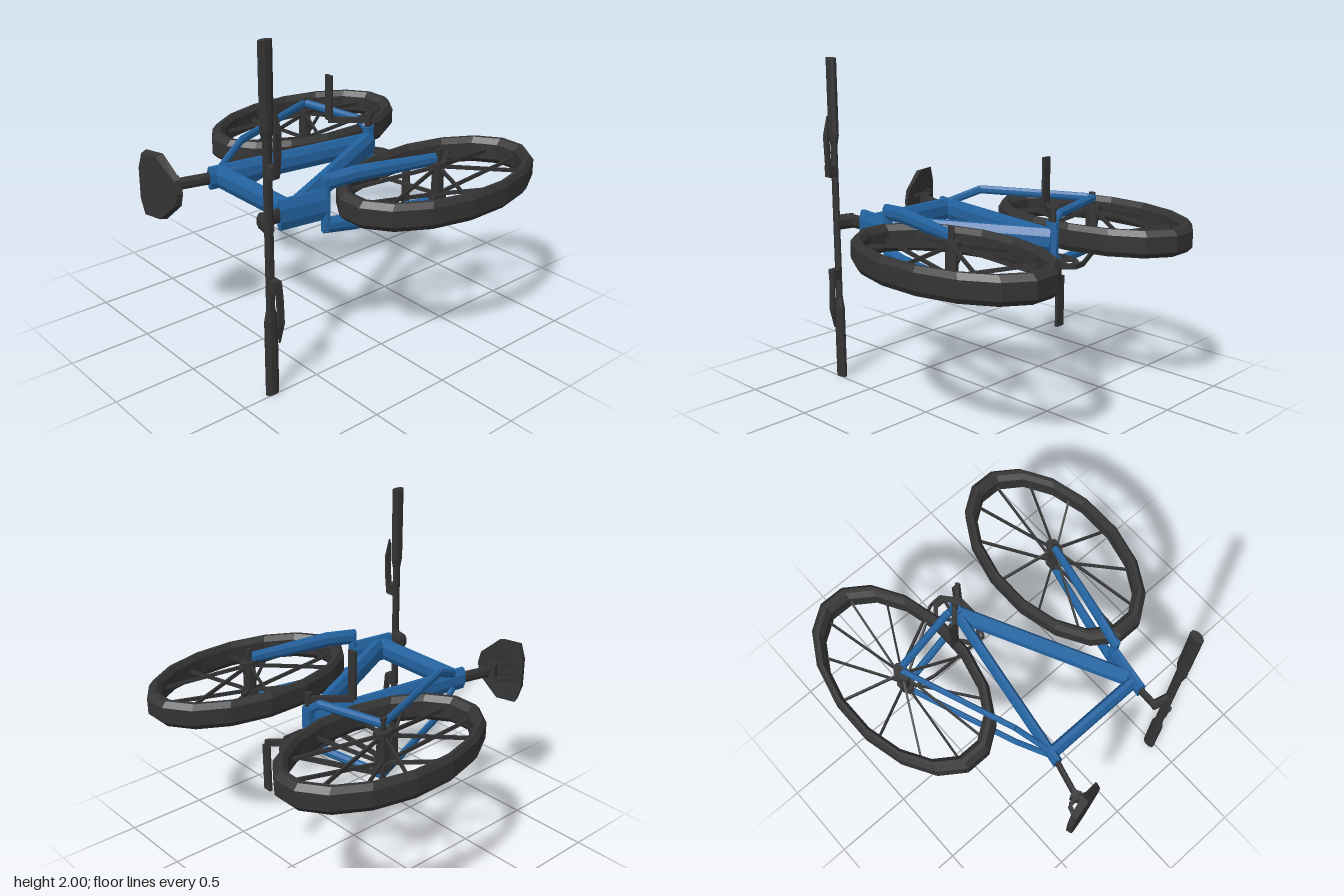
import * as THREE from 'three';

const SQUASH = 0.588; // round parts are narrower along x
const blue = new THREE.MeshStandardMaterial({ color: 0x2364a2, flatShading: true });
blue.name = 'frame blue';
const dark = new THREE.MeshStandardMaterial({ color: 0x343434, flatShading: true });
dark.name = 'charcoal';

// The bicycle lies on its side: x along it, z its own up, w sideways from y = 1
const P = (x, z, w = 0) => new THREE.Vector3(x, 1 + w, z);

export function createModel() {
  const model = new THREE.Group();

  function add(name, geometry, material, parent = model) {
    const mesh = new THREE.Mesh(geometry, material);
    mesh.name = name;
    parent.add(mesh);
    return mesh;
  }

  // Tube from a to b: width in the frame plane, depth across it
  function beam(name, a, b, width, depth, material, { sides = 8, taper = 1, parent = model } = {}) {
    const d = b.clone().sub(a);
    const length = d.length();
    d.normalize();
    const lat = Math.abs(d.y) > 0.9 ? new THREE.Vector3(0, 0, 1) : new THREE.Vector3(0, 1, 0);
    lat.addScaledVector(d, -lat.dot(d)).normalize();
    const side = d.clone().cross(lat);
    const g = new THREE.CylinderGeometry(taper, 1, 1, sides);
    g.rotateY(Math.PI / sides);
    const k = 0.5 / Math.cos(Math.PI / sides);
    g.scale(width * k, length, depth * k);
    g.applyMatrix4(new THREE.Matrix4().makeBasis(side, d, lat).setPosition(a.clone().add(b).multiplyScalar(0.5)));
    return add(name, g, material, parent);
  }

  function path(name, points, width, depth, material, options) {
    for (let i = 0; i < points.length - 1; i++) beam(name, points[i], points[i + 1], width, depth, material, options);
  }

  function box(name, size, at, material) {
    const mesh = add(name, new THREE.BoxGeometry(...size), material);
    mesh.position.copy(at);
    return mesh;
  }

  // Closed ring around the sideways axis from [radius, w] points
  function ring(name, profile, sides, parent) {
    const points = [...profile, profile[0]].map(p => new THREE.Vector2(p[0], p[1]));
    const g = new THREE.LatheGeometry(points, sides, Math.PI / sides);
    g.scale(SQUASH, 1, 1);
    return add(name, g, dark, parent);
  }

  // Wheels
  function wheel(name, x, z, offset) {
    const group = new THREE.Group();
    group.name = name;
    group.position.copy(P(x, z));
    model.add(group);
    ring('tyre', [[0.688, -0.048], [0.688, 0.048], [0.657, 0.08], [0.628, 0.08],
      [0.597, 0.048], [0.597, -0.048], [0.628, -0.08], [0.657, -0.08]], 16, group);
    const V = (px, y, pz) => new THREE.Vector3(px, y, pz);
    beam('hub', V(0, -0.09, 0), V(0, 0.09, 0), 0.05, 0.08, dark, { parent: group });
    beam('axle', V(0, -0.19, 0), V(0, 0.19, 0), 0.025, 0.04, dark, { parent: group });
    for (const s of [-1, 1])
      beam('hubFlange', V(0, s * 0.08, 0), V(0, s * 0.115, 0), 0.075, 0.12, dark, { parent: group });
    for (let i = 0; i < 12; i++) {
      const a = offset + i * Math.PI / 6;
      const c = Math.sin(a) * SQUASH, s = -Math.cos(a), w = i % 2 ? 0.08 : -0.08;
      beam('spoke', V(c * 0.04, w, s * 0.04), V(c * 0.61, 0, s * 0.61), 0.012, 0.022, dark, { sides: 4, parent: group });
    }
  }
  wheel('rearWheel', -0.601, -0.325, 0.21);
  wheel('frontWheel', 0.596, -0.325, 0.15);

  // Main frame
  beam('seatTube', P(-0.1, -0.43), P(-0.268, 0.655), 0.056, 0.135, blue);
  beam('downTube', P(-0.1, -0.43), P(0.385, 0.55), 0.082, 0.145, blue);
  beam('topTube', P(-0.26, 0.59), P(0.39, 0.59), 0.068, 0.135, blue);
  beam('headTube', P(0.435, 0.36), P(0.388, 0.66), 0.056, 0.175, blue);
  beam('bottomBracketShell', P(-0.105, -0.43, -0.11), P(-0.105, -0.43, 0.11), 0.05, 0.08, blue);

  // Paired stays and fork blades
  for (const s of [-1, 1]) {
    path('seatStay', [P(-0.268, 0.57, s * 0.05), P(-0.34, 0.37, s * 0.145), P(-0.602, -0.32, s * 0.155)], 0.03, 0.05, blue);
    path('chainStay', [P(-0.105, -0.43, s * 0.08), P(-0.18, -0.415, s * 0.14), P(-0.602, -0.33, s * 0.155)], 0.042, 0.05, blue);
    path('forkBlade', [P(0.432, 0.39, s * 0.125), P(0.475, 0.2, s * 0.143)], 0.05, 0.09, blue);
    beam('forkBladeLower', P(0.475, 0.2, s * 0.143), P(0.587, -0.31, s * 0.132), 0.05, 0.092, blue, { taper: 0.75 });
  }
  beam('forkCrown', P(0.435, 0.375, -0.16), P(0.435, 0.375, 0.16), 0.05, 0.05, blue);

  // Seat post, clamp and rails
  beam('seatPost', P(-0.265, 0.64), P(-0.315, 0.84), 0.032, 0.07, dark);
  beam('saddleClamp', P(-0.335, 0.84), P(-0.31, 0.89), 0.05, 0.1, dark, { sides: 4 });
  for (const s of [-1, 1])
    path('saddleRail', [P(-0.405, 0.945, s * 0.05), P(-0.385, 0.88, s * 0.05), P(-0.32, 0.88, s * 0.05),
      P(-0.25, 0.905, s * 0.03)], 0.012, 0.02, dark, { sides: 4 });

  // Saddle: broad rear and narrow nose, flat top tilted down to the front, bowed underside
  const outline = [[-0.48, 0.1], [-0.45, 0.2], [-0.33, 0.2], [-0.2, 0.08], [-0.18, 0]];
  const loop = [...outline, ...outline.slice(0, 4).reverse().map(([x, w]) => [x, -w])];
  const shape = new THREE.Shape(loop.map(([x, w]) => new THREE.Vector2(x, w)));
  const saddle = new THREE.ExtrudeGeometry(shape, { depth: 1, bevelEnabled: false });
  const pos = saddle.attributes.position;
  for (let i = 0; i < pos.count; i++) {
    const isTop = pos.getZ(i) > 0.5;
    const k = isTop ? 0.94 : 1;
    const x = -0.32 + (pos.getX(i) + 0.32) * k;
    const t = (-0.18 - x) / 0.3;
    pos.setXYZ(i, x, 1 + pos.getY(i) * k, isTop ? 0.923 + 0.072 * t : 0.89 + 0.018 * t + 0.052 * t * t);
  }
  add('saddle', saddle, dark);

  // Stem, handlebar, grips and brake levers
  beam('steerer', P(0.388, 0.65), P(0.385, 0.79), 0.036, 0.08, dark);
  beam('stem', P(0.375, 0.77), P(0.49, 0.8), 0.05, 0.09, dark);
  beam('handlebar', P(0.482, 0.8, -0.99), P(0.482, 0.8, 0.99), 0.03, 0.052, dark);
  for (const s of [-1, 1]) {
    beam('grip', P(0.482, 0.8, s * 0.54), P(0.482, 0.8, s), 0.043, 0.078, dark);
    beam('gripTaper', P(0.482, 0.8, s * 0.54), P(0.482, 0.8, s * 0.48), 0.043, 0.078, dark, { taper: 0.7 });
    box('leverClamp', [0.055, 0.07, 0.05], P(0.515, 0.795, s * 0.325), dark);
    path('brakeLever', [P(0.538, 0.79, s * 0.3), P(0.544, 0.785, s * 0.4), P(0.55, 0.785, s * 0.54)],
      0.016, 0.04, dark, { sides: 4 });
    beam('leverTip', P(0.55, 0.785, s * 0.54), P(0.535, 0.785, s * 0.66), 0.016, 0.04, dark, { sides: 4, taper: 0.3 });
  }

  // Cranks and pedals
  beam('crankSpindle', P(-0.105, -0.43, -0.14), P(-0.105, -0.43, 0.19), 0.03, 0.05, dark);
  beam('crankArm', P(-0.105, -0.43, -0.125), P(0.06, -0.622, -0.125), 0.026, 0.035, dark, { sides: 4 });
  beam('crankArm', P(-0.105, -0.43, 0.15), P(-0.27, -0.24, 0.15), 0.026, 0.035, dark, { sides: 4 });
  box('pedal', [0.055, 0.29, 0.018], P(0.048, -0.62, -0.285), dark);
  box('pedal', [0.055, 0.29, 0.018], P(-0.262, -0.243, 0.295), dark);

  // Chainring, sprocket and chain
  ring('chainring', [[0.19, -0.01], [0.19, 0.01], [0.155, 0.01], [0.155, -0.01]], 10)
    .position.copy(P(-0.105, -0.43, -0.115));
  for (let i = 0; i < 5; i++) {
    const a = 0.3 + i * Math.PI * 0.4;
    beam('chainringArm', P(-0.105, -0.43, -0.115),
      P(-0.105 + Math.sin(a) * 0.1, -0.43 + Math.cos(a) * 0.17, -0.115), 0.018, 0.02, dark, { sides: 4 });
  }
  beam('sprocket', P(-0.601, -0.325, -0.125), P(-0.601, -0.325, -0.1), 0.08, 0.13, dark);
  path('chain', [P(-0.61, -0.39, -0.115), P(-0.16, -0.615, -0.115), P(-0.08, -0.62, -0.115), P(0.005, -0.52, -0.115),
    P(0.01, -0.4, -0.115), P(-0.05, -0.245, -0.115), P(-0.44, -0.25, -0.115), P(-0.57, -0.28, -0.115)],
    0.013, 0.03, dark, { sides: 4 });

  return model;
}
